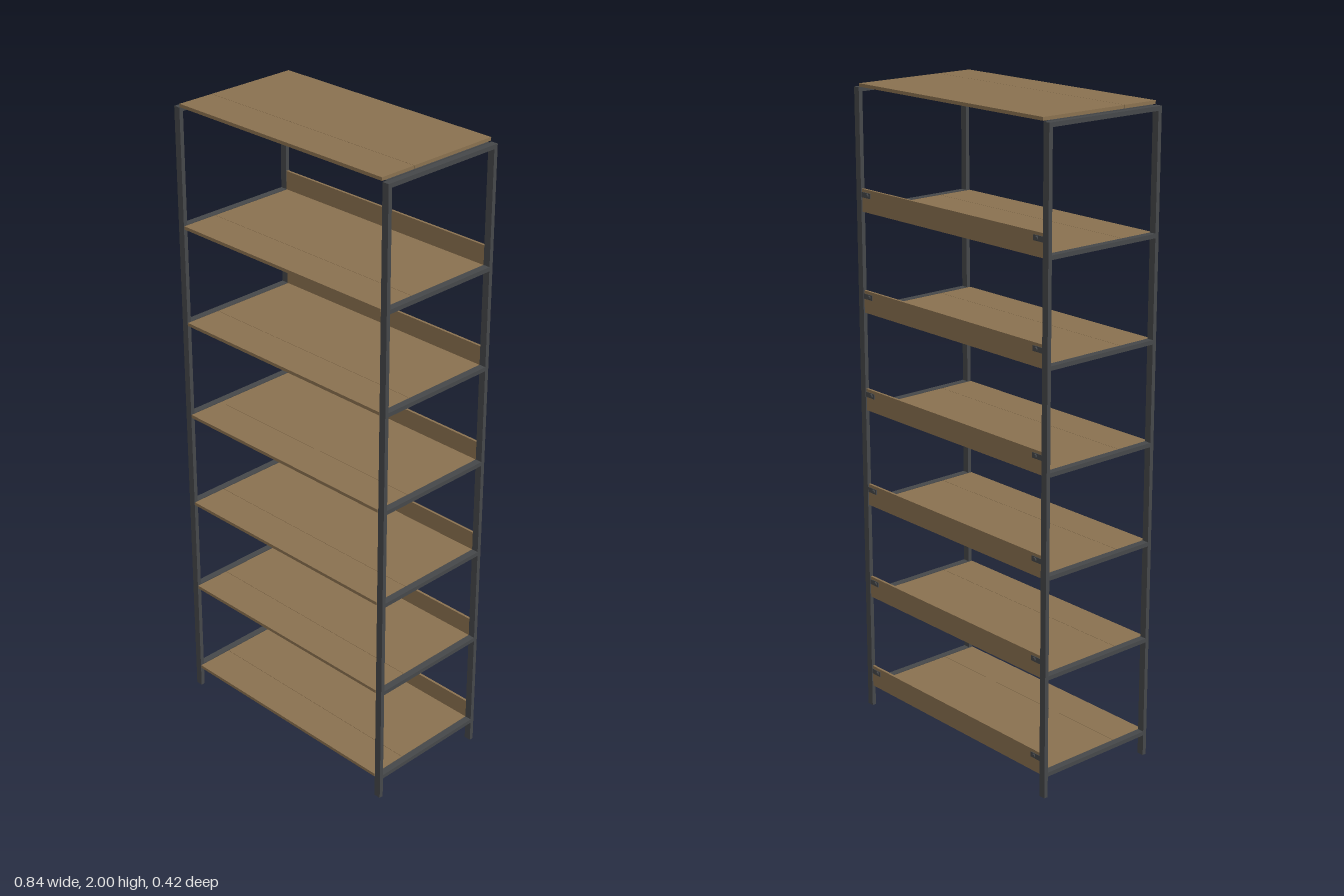
import * as THREE from 'three';

export function createModel() {
  const root = new THREE.Group();
  root.name = 'shelvingUnit';
  const wood = new THREE.MeshStandardMaterial({ color: 0x8b7250 });
  wood.name = 'oak wood';
  const metal = new THREE.MeshStandardMaterial({ color: 0x46484a });
  metal.name = 'dark metal';

  // box given by its min and max corners
  function box(parent, name, mat, x0, x1, y0, y1, z0, z1) {
    const m = new THREE.Mesh(new THREE.BoxGeometry(x1 - x0, y1 - y0, z1 - z0), mat);
    m.position.set((x0 + x1) / 2, (y0 + y1) / 2, (z0 + z1) / 2);
    m.name = name;
    parent.add(m);
    return m;
  }
  const screwGeo = new THREE.CylinderGeometry(0.005, 0.007, 0.003, 10);
  function screw(parent, x, y, z, rx) {
    const m = new THREE.Mesh(screwGeo, metal);
    m.position.set(x, y, z);
    m.rotation.x = rx;
    m.name = 'screwHead';
    parent.add(m);
  }
  // box mirrored onto both sides of the unit
  function pair(parent, name, mat, x0, x1, y0, y1, z0, z1) {
    box(parent, name, mat, x0, x1, y0, y1, z0, z1);
    box(parent, name, mat, -x1, -x0, y0, y1, z0, z1);
  }

  // corner posts
  pair(root, 'frontPost', metal, 0.398, 0.42, 0, 1.988, 0.198, 0.211);
  pair(root, 'backPost', metal, 0.398, 0.42, 0, 1.988, -0.211, -0.198);

  // shelves, y measured at the top of the boards
  function shelf(top, isTop) {
    const g = new THREE.Group();
    g.name = isTop ? 'topShelf' : 'shelf';
    g.position.y = top;
    root.add(g);
    const back = isTop ? -0.211 : -0.199;
    box(g, 'rearBoard', wood, -0.396, 0.396, -0.01, 0, back, 0.0905);
    box(g, 'frontBoard', wood, -0.396, 0.396, -0.01, 0, 0.0915, 0.211);

    // side rails with an inner support flange
    const railTop = isTop ? -0.012 : 0.001;
    pair(g, 'sideRail', metal, 0.398, 0.42, railTop - 0.013, railTop, -0.198, 0.198);
    pair(g, 'sideFlange', metal, 0.378, 0.4, -0.013, -0.01, -0.198, 0.198);

    // flat strips and screws under the boards
    for (const z of [-0.17, 0.17]) {
      box(g, 'underStrip', metal, -0.378, 0.378, -0.012, -0.01, z - 0.008, z + 0.008);
    }
    for (const x of [-0.34, -0.16, 0.16, 0.34]) {
      for (const z of [-0.17, -0.06, 0.06, 0.17]) screw(g, x, -0.0125, z, Math.PI);
    }
    if (isTop) return;

    // upright back board held by small plates
    box(g, 'backBoard', wood, -0.398, 0.398, -0.01, 0.059, -0.207, -0.199);
    pair(g, 'backPlate', metal, 0.358, 0.4, 0.034, 0.05, -0.2095, -0.207);
    for (const x of [-0.371, 0.371]) screw(g, x, 0.042, -0.211, -Math.PI / 2);
  }
  for (let i = 0; i < 6; i++) shelf(0.079 + 0.31 * i, false);
  shelf(2, true);
  return root;
}
